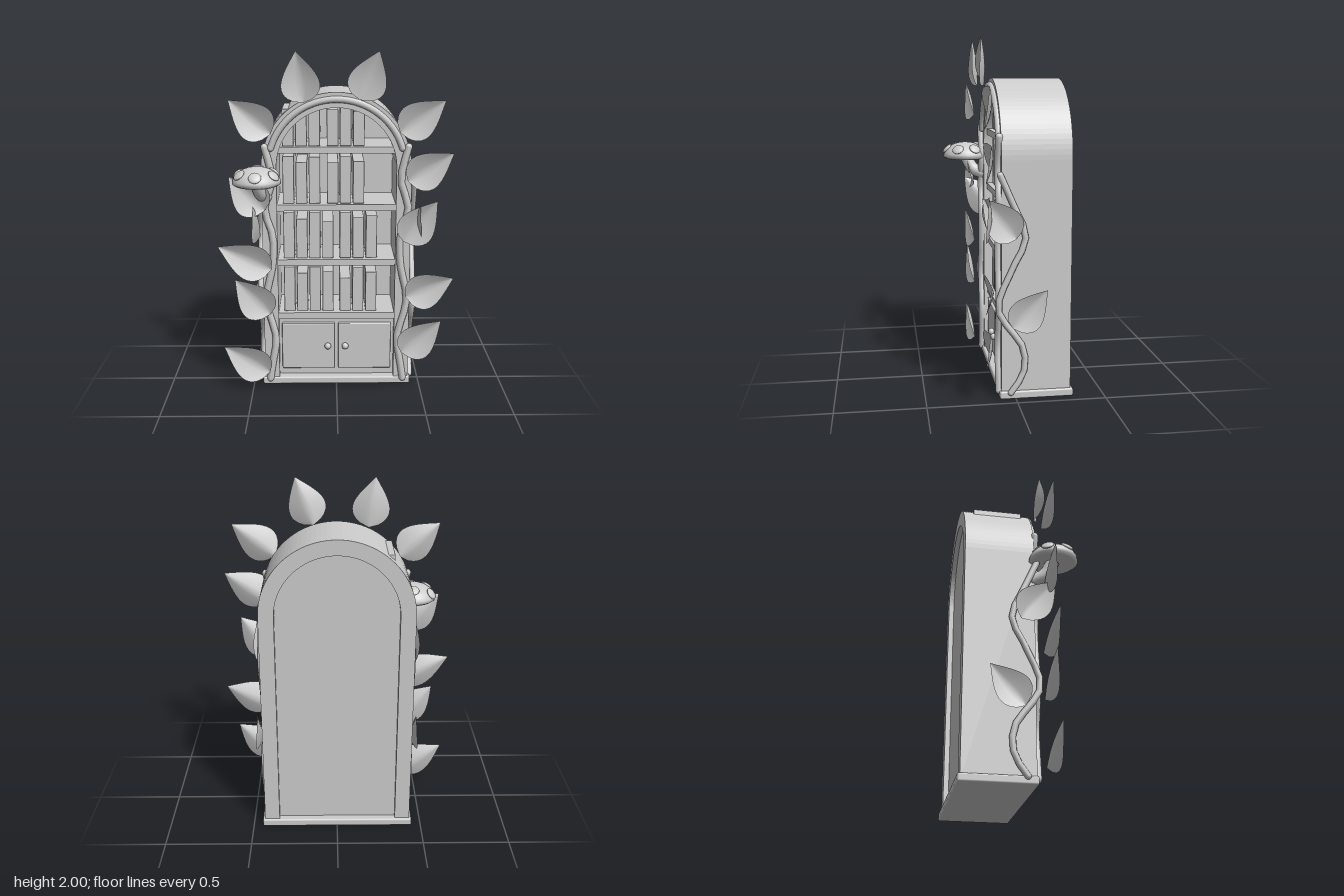
import * as THREE from 'three';
import { RoundedBoxGeometry } from 'three/addons/geometries/RoundedBoxGeometry.js';

const V = (x, y, z) => new THREE.Vector3(x, y, z);
const SPRING = 1.335; // height where the arch begins

function archPath(PathType, r, bottom) {
  const p = new PathType();
  p.moveTo(-r, bottom);
  p.lineTo(r, bottom);
  p.lineTo(r, SPRING);
  p.absarc(0, SPRING, r, 0, Math.PI, false);
  p.closePath();
  return p;
}

// Pointed leaf along +y, with a valley fold along its midrib opening to +z
function leafGeometry(length, halfWidth) {
  const rows = 16, cols = 8, pos = [], idx = [];
  for (let i = 0; i <= rows; i++) {
    const u = i / rows;
    const w = Math.sin(Math.PI * Math.pow(u, 0.65)) * halfWidth;
    for (let j = 0; j <= cols; j++) {
      const v = (j / cols) * 2 - 1;
      const z = 0.4 * w * Math.pow(Math.abs(v), 1.2) - 0.012 * Math.sin(Math.PI * u);
      pos.push(v * w, u * length, z);
      if (i < rows && j < cols) {
        const a = i * (cols + 1) + j, b = a + cols + 1;
        idx.push(a, a + 1, b, b, a + 1, b + 1);
      }
    }
  }
  const g = new THREE.BufferGeometry();
  g.setAttribute('position', new THREE.Float32BufferAttribute(pos, 3));
  g.setIndex(idx);
  g.computeVertexNormals();
  return g;
}

export function createModel() {
  const model = new THREE.Group();
  model.name = 'archedBookcase';
  const grey = new THREE.MeshStandardMaterial({ color: 0xcccccc });
  grey.name = 'light grey';
  const greyThin = grey;
  greyThin.side = THREE.DoubleSide;

  function add(name, geometry, x = 0, y = 0, z = 0) {
    const m = new THREE.Mesh(geometry, grey);
    m.name = name;
    m.position.set(x, y, z);
    model.add(m);
    return m;
  }
  function box(name, x0, x1, y0, y1, z0, z1) {
    return add(name, new THREE.BoxGeometry(x1 - x0, y1 - y0, z1 - z0),
      (x0 + x1) / 2, (y0 + y1) / 2, (z0 + z1) / 2);
  }

  // Arched case, recessed back panel and base
  const frame = archPath(THREE.Shape, 0.432, 0.01);
  frame.holes.push(archPath(THREE.Path, 0.345, 0.045));
  add('archedCase', new THREE.ExtrudeGeometry(frame, { depth: 0.39, bevelEnabled: false, curveSegments: 24 }), 0, 0, -0.31);
  add('backPanel', new THREE.ExtrudeGeometry(archPath(THREE.Shape, 0.35, 0.03),
    { depth: 0.02, bevelEnabled: false, curveSegments: 24 }), 0, 0, -0.28);
  add('base', new RoundedBoxGeometry(0.89, 0.045, 0.415, 2, 0.01), 0, 0.0225, -0.1175);

  // Shelves
  const shelfTops = [0.45, 0.783, 1.116, 1.455];
  for (const y of shelfTops) box('shelf', -0.346, 0.346, y - 0.038, y, -0.265, 0.06);

  // Cabinet with two doors and round knobs
  box('cabinetFront', -0.346, 0.346, 0.04, 0.415, -0.02, 0.035);
  for (const s of [-1, 1]) {
    add('door', new RoundedBoxGeometry(0.317, 0.29, 0.03, 2, 0.006), s * 0.1695, 0.235, 0.045);
    add('knob', new THREE.SphereGeometry(0.02, 16, 12), s * 0.052, 0.24, 0.073);
  }

  // Books: left edge and height for each row
  const rows = [
    [[-0.312, 0.28], [-0.236, 0.24], [-0.16, 0.28], [-0.083, 0.25], [0.02, 0.21], [0.096, 0.275], [0.174, 0.245]],
    [[-0.312, 0.28], [-0.236, 0.24], [-0.16, 0.28], [-0.083, 0.225], [0.02, 0.28], [0.096, 0.25], [0.174, 0.262]],
    [[-0.312, 0.28], [-0.236, 0.245], [-0.16, 0.275], [-0.055, 0.245], [0.02, 0.28], [0.096, 0.25]],
    [[-0.312, 0.213], [-0.236, 0.2], [-0.16, 0.225], [-0.055, 0.21], [0.02, 0.225], [0.096, 0.2]],
  ];
  rows.forEach((row, i) => row.forEach(([x, h]) =>
    add('book', new RoundedBoxGeometry(0.066, h, 0.28, 1, 0.004), x + 0.033, shelfTops[i] + h / 2, -0.11)));

  // Vines: an arch, and a front and a side vine on both sides
  function vine(name, points, radius, segments) {
    add(name, new THREE.TubeGeometry(new THREE.CatmullRomCurve3(points), segments, radius, 8));
    for (const p of [points[0], points[points.length - 1]])
      add(name + 'End', new THREE.SphereGeometry(radius, 8, 6), p.x, p.y, p.z);
  }
  const arch = [];
  for (let i = 0; i <= 16; i++) {
    const a = 0.3 + (Math.PI - 0.6) * i / 16;
    arch.push(V(0.393 * Math.cos(a), SPRING + 0.393 * Math.sin(a), 0.087));
  }
  vine('archVine', arch, 0.019, 32);
  const front = [[0.4, 0.04], [0.385, 0.14], [0.362, 0.3], [0.415, 0.54], [0.375, 0.76], [0.37, 0.93],
    [0.415, 1.1], [0.37, 1.27], [0.41, 1.46]];
  const side = [[0.03, 0.04], [-0.04, 0.15], [-0.04, 0.29], [0.1, 0.52], [0.03, 0.73], [-0.05, 0.915],
    [0.02, 1.1], [0.09, 1.26]];
  for (const s of [-1, 1]) {
    vine('frontVine', front.map(([x, y]) => V(s * x, y, 0.09)), 0.021, 20);
    vine('sideVine', side.map(([z, y]) => V(s * 0.447, y, z)), 0.018, 18);
  }

  // Leaves, each set from its base and tip and the way it faces
  function leaf(base, tip, facing, halfWidth) {
    const up = tip.clone().sub(base);
    const m = add('leaf', leafGeometry(up.length(), halfWidth));
    up.normalize();
    const across = up.clone().cross(facing).normalize();
    m.quaternion.setFromRotationMatrix(
      new THREE.Matrix4().makeBasis(across, up, across.clone().cross(up)));
    m.position.copy(base);
  }
  const frontLeaves = [
    [-0.185, 1.715, -0.225, 2.0], [-0.37, 1.54, -0.6, 1.735], [-0.41, 1.1, -0.61, 1.305],
    [-0.38, 0.745, -0.685, 0.895], [-0.39, 0.47, -0.59, 0.695], [-0.4, 0.1, -0.665, 0.275],
    [0.13, 1.73, 0.235, 2.0], [0.355, 1.55, 0.605, 1.73], [0.405, 1.27, 0.66, 1.435],
    [0.385, 0.915, 0.575, 1.16], [0.405, 0.575, 0.68, 0.7], [0.385, 0.225, 0.615, 0.435],
  ];
  for (const [x0, y0, x1, y1] of frontLeaves)
    leaf(V(x0, y0, 0.135), V(x1, y1, 0.165), V(0, 0, 1), 0.108);
  for (const s of [-1, 1]) {
    leaf(V(s * 0.45, 0.41, 0.02), V(s * 0.47, 0.625, -0.17), V(s, 0, 0), 0.1);
    leaf(V(s * 0.45, 0.91, 0.0), V(s * 0.475, 1.14, 0.19), V(s, 0, 0), 0.1);
  }

  // Mushroom with a curved stem and raised spots
  const mx = -0.45, mz = 0.185, my = 1.265, capR = 0.138, capH = 0.092;
  add('mushroomStem', new THREE.TubeGeometry(new THREE.CatmullRomCurve3(
    [V(-0.41, 1.17, 0.08), V(-0.43, 1.2, 0.14), V(mx, 1.28, mz)]), 12, 0.038, 12));
  add('mushroomStemEnd', new THREE.SphereGeometry(0.038, 12, 8), -0.41, 1.17, 0.08);
  const profile = [[0, 0.01], [0.06, 0.005], [0.12, -0.004], [capR, 0.008]];
  for (let i = 1; i <= 8; i++) {
    const a = (i / 8) * Math.PI / 2;
    profile.push([capR * Math.cos(a), 0.008 + capH * Math.sin(a)]);
  }
  add('mushroomCap', new THREE.LatheGeometry(profile.map(([r, y]) => new THREE.Vector2(Math.max(r, 0), y)), 32), mx, my, mz);
  for (const [dx, dz] of [[-0.11, -0.055], [0, -0.085], [-0.092, 0.06], [0, 0.115], [0.1, 0.055], [0.1, -0.05]]) {
    const h = capH * Math.sqrt(Math.max(0, 1 - (dx * dx + dz * dz) / (capR * capR)));
    const spot = add('mushroomSpot', new THREE.SphereGeometry(0.036, 16, 10), mx + dx, my + 0.008 + h, mz + dz);
    const n = V(dx / (capR * capR), h / (capH * capH), dz / (capR * capR)).normalize();
    spot.quaternion.setFromUnitVectors(V(0, 1, 0), n);
    spot.scale.y = 0.35;
  }
  return model;
}
